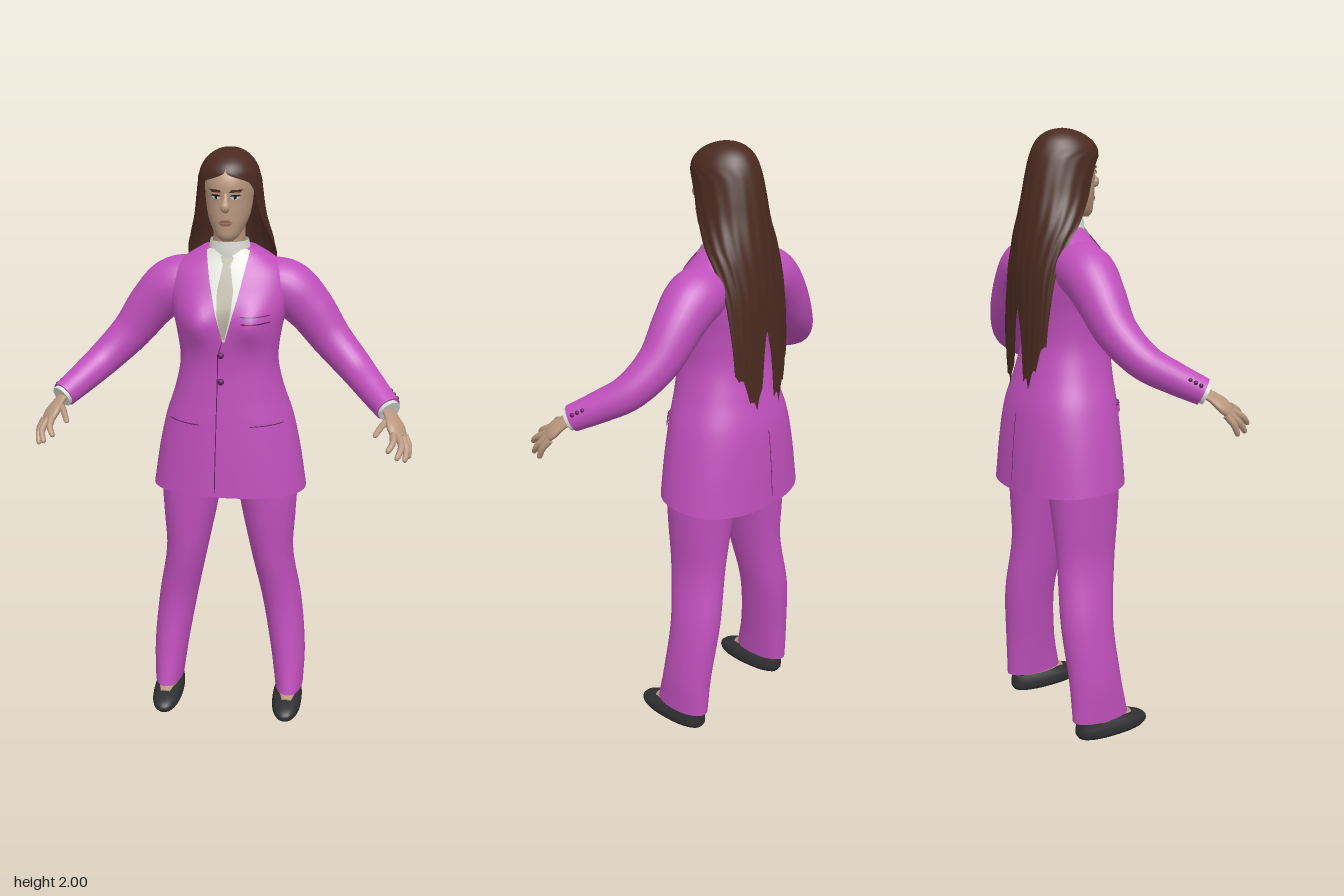
import * as THREE from 'three';

const mat = (name, hex) => {
  const m = new THREE.MeshStandardMaterial({ color: hex, side: THREE.DoubleSide });
  m.name = name;
  return m;
};
const V = (x, y, z) => new THREE.Vector3(x, y, z);

// Skin a list of point rings; closed rings wrap round, caps add flat-fan ends
function loft(rings, closed = true, cap0 = false, cap1 = false) {
  const n = rings[0].length, pos = [], idx = [];
  rings.forEach(r => r.forEach(p => pos.push(p.x, p.y, p.z)));
  const cols = closed ? n : n - 1;
  for (let i = 0; i < rings.length - 1; i++) for (let j = 0; j < cols; j++) {
    const a = i * n + j, b = i * n + (j + 1) % n;
    idx.push(a, b, b + n, a, b + n, a + n);
  }
  const cap = (ring, flip) => {
    const base = pos.length / 3, c = V(0, 0, 0);
    ring.forEach(p => { pos.push(p.x, p.y, p.z); c.addScaledVector(p, 1 / n); });
    pos.push(c.x, c.y, c.z);
    for (let j = 0; j < n; j++) {
      const a = base + j, b = base + (j + 1) % n;
      flip ? idx.push(b, a, base + n) : idx.push(a, b, base + n);
    }
  };
  if (cap0) cap(rings[0], true);
  if (cap1) cap(rings[rings.length - 1], false);
  const g = new THREE.BufferGeometry();
  g.setAttribute('position', new THREE.Float32BufferAttribute(pos, 3));
  g.setIndex(idx);
  g.computeVertexNormals();
  return g;
}

// Smooth interpolation of rows keyed by their first number
function profile(rows) {
  const slope = (i, k) => {
    const a = rows[Math.max(i - 1, 0)], b = rows[Math.min(i + 1, rows.length - 1)];
    return (b[k] - a[k]) / (b[0] - a[0]);
  };
  return y => {
    let i = 0;
    while (i < rows.length - 2 && y > rows[i + 1][0]) i++;
    const a = rows[i], b = rows[i + 1], h = b[0] - a[0];
    const t = Math.min(1, Math.max(0, (y - a[0]) / h)), s = t * t * (3 - 2 * t);
    return a.map((v, k) => k === 0 ? y : v + (b[k] - v) * s
      + h * (t * (1 - t) ** 2 * slope(i, k) - t * t * (1 - t) * slope(i + 1, k)));
  };
}

// Upright body from rows of [y, centre x, half width, front z, back z]
function body(rows, n = 2.2, bump = () => 0, lift = () => 0) {
  const at = profile(rows), y0 = rows[0][0], y1 = rows[rows.length - 1][0];
  const pw = v => Math.sign(v) * Math.abs(v) ** (2 / n);
  const surf = (x, y, side = 1) => {
    const [, cx, w, f, b] = at(y), k = Math.min(1, Math.abs((x - cx) / w));
    const z = (f + b) / 2 + side * (f - b) / 2 * (1 - k ** n) ** (1 / n);
    return side > 0 ? z + bump(x, y) : z;
  };
  const geo = (steps, seg, c0, c1) => loft(Array.from({ length: steps + 1 }, (_, i) => {
    const y = y0 + (y1 - y0) * i / steps, [, cx, w, f, b] = at(y);
    return Array.from({ length: seg }, (_, j) => {
      const t = j / seg * Math.PI * 2, c = Math.cos(t), x = cx + w * pw(Math.sin(t));
      return V(x, y + lift(y, c), (f + b) / 2 + (f - b) / 2 * pw(c) + (c > 0 ? bump(x, y) : 0));
    });
  }), true, c0, c1);
  return { surf, geo };
}

// Thin plate following a body's surface, rows of [y, x from, x to]
function panel(surf, rows, off, side = 1) {
  const rings = [], N = 8, M = 8;
  for (let i = 0; i < rows.length - 1; i++) for (let k = i ? 1 : 0; k <= N; k++) {
    const [y, a, b] = rows[i].map((v, q) => v + (rows[i + 1][q] - v) * k / N);
    const lo = Math.min(a, b), hi = Math.max(a, b);
    rings.push(Array.from({ length: M + 1 }, (_, j) => {
      const x = side > 0 ? lo + (hi - lo) * j / M : hi - (hi - lo) * j / M;
      return V(x, y, surf(x, y, side) + side * off);
    }));
  }
  return loft(rings, false);
}

// Tapering limb through points of [x, y, z, radius]
function limb(pts, { flat = 1, ref = V(0, 0, 1), steps = 24, seg = 20, caps = true } = {}) {
  const c = new THREE.CatmullRomCurve3(pts.map(p => V(p[0], p[1], p[2])));
  const rad = new THREE.CatmullRomCurve3(pts.map((p, i) => V(p[3], i, 0)));
  return loft(Array.from({ length: steps + 1 }, (_, i) => {
    const t = i / steps, p = c.getPoint(t), T = c.getTangent(t), r = rad.getPoint(t).x;
    const U = ref.clone().addScaledVector(T, -ref.dot(T)).normalize(), W = T.clone().cross(U);
    return Array.from({ length: seg }, (_, j) => {
      const a = j / seg * Math.PI * 2;
      return p.clone().addScaledVector(U, r * Math.cos(a)).addScaledVector(W, r * flat * Math.sin(a));
    });
  }), true, caps, caps);
}

export function createModel() {
  const root = new THREE.Group();
  const suit = mat('suit magenta', 0xc050bc), seam = mat('seam plum', 0x5c1f58), hairM = mat('hair brown', 0x4a2a20),
    skin = mat('skin', 0xb8977f), white = mat('shirt white', 0xdcdcd6), tieM = mat('tie grey', 0xb0ac9a),
    shoeM = mat('shoe black', 0x2f2f31), dark = mat('eye dark', 0x221815), lip = mat('lip', 0x8f6355);
  const add = (name, geo, m) => {
    const o = new THREE.Mesh(geo, m);
    o.name = name;
    root.add(o);
    return o;
  };
  const dot = (name, x, y, z, r, m) => add(name, new THREE.SphereGeometry(r, 12, 8), m).position.set(x, y, z);

  // Jacket body with bust and slightly dipping back hem
  const jacket = body([
    [0.855, 0, 0.265, 0.10, -0.265], [1.0, 0, 0.242, 0.095, -0.255], [1.12, 0, 0.215, 0.088, -0.24],
    [1.22, 0, 0.182, 0.08, -0.212], [1.32, 0, 0.163, 0.075, -0.188], [1.42, 0, 0.173, 0.082, -0.187],
    [1.5, 0, 0.19, 0.078, -0.195], [1.57, 0, 0.2, 0.05, -0.195], [1.62, 0, 0.185, 0.025, -0.187],
    [1.66, 0, 0.135, 0.0, -0.165], [1.69, 0, 0.085, -0.015, -0.14],
  ], 2.3,
  (x, y) => 0.028 * Math.exp(-(((Math.abs(x) - 0.09) / 0.05) ** 2) - ((y - 1.46) / 0.06) ** 2),
  (y, c) => 0.015 * c * Math.max(0, 1 - (y - 0.855) / 0.2));
  add('jacket', jacket.geo(60, 64, false, true), suit);
  const onJacket = (name, rows, off, m, side) => add(name, panel(jacket.surf, rows, off, side), m);

  // Shirt, tie, jacket front details
  onJacket('shirtFront', [[1.41, -0.008, 0.002], [1.56, -0.045, 0.043], [1.685, -0.07, 0.07]], 0.004, white);
  onJacket('tie', [[1.42, -0.008, 0.002], [1.5, -0.024, 0.02], [1.57, -0.026, 0.026], [1.645, -0.012, 0.012],
    [1.655, -0.018, 0.018], [1.685, -0.022, 0.022]], 0.008, tieM);
  onJacket('frontSeam', [[0.885, -0.033, -0.03], [1.36, -0.023, -0.02], [1.41, -0.008, -0.006]], 0.002, seam);
  onJacket('backVent', [[0.87, -0.0015, 0.0015], [1.1, -0.0015, 0.0015]], 0.002, seam, -1);
  for (const y of [1.363, 1.273]) dot('jacketButton', -0.012, y, jacket.surf(-0.012, y), 0.011, seam);
  onJacket('breastPocket', [[1.475, 0.055, 0.145], [1.495, 0.052, 0.145]], 0.006, suit);
  onJacket('breastPocketSeam', [[1.472, 0.055, 0.145], [1.476, 0.055, 0.145]], 0.007, seam);
  onJacket('pocketSquare', [[1.495, 0.05, 0.145], [1.512, 0.075, 0.125], [1.52, 0.09, 0.098]], 0.008, suit);
  onJacket('pocketSquareEdge', [[1.495, 0.05, 0.145], [1.498, 0.055, 0.14]], 0.009, seam);

  // Neck and standing collar
  add('neck', limb([[0, 1.6, -0.07, 0.06], [0, 1.69, -0.055, 0.054], [0, 1.78, -0.045, 0.05]], { ref: V(1, 0, 0) }), skin);
  add('collar', body([[1.65, 0, 0.078, 0.005, -0.14], [1.685, 0, 0.068, 0.006, -0.125], [1.715, 0, 0.062, 0.004, -0.12]], 2)
    .geo(6, 32), white);

  // Head and face
  const head = body([
    [1.722, 0, 0.022, 0.03, -0.03], [1.735, 0, 0.037, 0.042, -0.07], [1.76, 0, 0.052, 0.045, -0.11],
    [1.79, 0, 0.065, 0.046, -0.14], [1.84, 0, 0.074, 0.046, -0.16], [1.9, 0, 0.076, 0.048, -0.165],
    [1.94, 0, 0.068, 0.03, -0.15], [1.965, 0, 0.048, -0.005, -0.125], [1.978, 0, 0.02, -0.045, -0.085],
  ], 2.2);
  add('head', head.geo(36, 36, true, true), skin);
  const onFace = (name, rows, off, m) => add(name, panel(head.surf, rows, off), m);
  add('nose', limb([[0, 1.872, 0.042, 0.007], [0, 1.85, 0.052, 0.009], [0, 1.833, 0.059, 0.015],
    [0, 1.822, 0.048, 0.011]], { ref: V(1, 0, 0) }), skin);
  onFace('upperLip', [[1.783, -0.024, 0.024], [1.791, -0.01, 0.01]], 0.004, lip);
  onFace('lowerLip', [[1.773, -0.012, 0.012], [1.782, -0.023, 0.023]], 0.005, lip);

  for (const s of [1, -1]) {
    const m = rows => rows.map(([y, a, b]) => [y, s * a, s * b]);
    // Eyes and brows
    onFace('eye', m([[1.855, 0.024, 0.036], [1.861, 0.015, 0.045], [1.867, 0.022, 0.038]]), 0.002, white);
    onFace('iris', m([[1.856, 0.026, 0.034], [1.867, 0.025, 0.035]]), 0.004, dark);
    onFace('eyelid', m([[1.864, 0.014, 0.047], [1.869, 0.02, 0.042]]), 0.003, dark);
    onFace('brow', m([[1.876, 0.012, 0.045], [1.884, 0.018, 0.053]]), 0.003, hairM);

    // Lapels, collar wings and pocket flaps
    onJacket('lapel', m([[1.41, 0.004, 0.008], [1.52, 0.033, 0.085], [1.585, 0.049, 0.115], [1.6, 0.053, 0.09],
      [1.61, 0.055, 0.11], [1.685, 0.07, 0.084]]), 0.007, suit);
    onJacket('collarWing', m([[1.635, 0.036, 0.042], [1.66, 0.024, 0.056], [1.69, 0.008, 0.064]]), 0.011, white);
    onJacket('pocketFlap', m([[1.1, 0.085, 0.19], [1.125, 0.085, 0.19]]), 0.008, suit);
    onJacket('pocketSeam', m([[1.123, 0.085, 0.19], [1.126, 0.085, 0.19]]), 0.009, seam);

    // Sleeve, shirt cuff and sleeve buttons
    const sleeve = [[0.12, 1.57, -0.09, 0.085], [0.19, 1.55, -0.09, 0.09], [0.26, 1.487, -0.09, 0.08],
      [0.335, 1.39, -0.08, 0.067], [0.42, 1.305, -0.035, 0.057], [0.478, 1.257, 0.035, 0.05], [0.53, 1.217, 0.105, 0.043]];
    const flip = pts => pts.map(([x, ...r]) => [s * x, ...r]);
    add('sleeve', limb(flip(sleeve), { steps: 40, seg: 28 }), suit);
    add('shirtCuff', limb(flip([[0.518, 1.226, 0.09, 0.037], [0.536, 1.212, 0.115, 0.037]]), { steps: 2 }), white);
    for (let k = 0; k < 3; k++)
      dot('sleeveButton', s * (0.557 - 0.01 * k), 1.243 + 0.008 * k, 0.075 - 0.013 * k, 0.007, seam);

    // Hand: flattened palm, four fingers and a thumb
    const across = V(s * 0.7, -0.3, -0.65);
    add('palm', limb(flip([[0.525, 1.222, 0.098, 0.028], [0.542, 1.2, 0.13, 0.031], [0.557, 1.174, 0.16, 0.04],
      [0.566, 1.152, 0.182, 0.034]]), { flat: 0.42, ref: across }), skin);
    const fingers = [
      [[0.586, 1.148, 0.152], [0.6, 1.118, 0.172], [0.601, 1.087, 0.186]],
      [[0.577, 1.152, 0.17], [0.592, 1.12, 0.2], [0.588, 1.09, 0.225]],
      [[0.565, 1.158, 0.186], [0.575, 1.133, 0.225], [0.562, 1.108, 0.256]],
      [[0.549, 1.166, 0.196], [0.548, 1.148, 0.227], [0.533, 1.127, 0.25]],
      [[0.535, 1.195, 0.135], [0.512, 1.185, 0.18], [0.492, 1.168, 0.222]],
    ];
    fingers.forEach(([a, b, c], i) => {
      const tip = c.map((v, k) => v + (c[k] - b[k]) * 0.15);
      add(i < 4 ? 'finger' : 'thumb', limb(flip([[...a, 0.012], [...b, 0.0105], [...c, 0.008], [...tip, 0.002]]),
        { ref: across, steps: 10, seg: 10 }), skin);
    });

    // Trouser leg
    const leg = body([
      [0.065, s * 0.225, 0.051, 0.045, -0.165], [0.2, s * 0.217, 0.062, 0.018, -0.17], [0.4, s * 0.19, 0.07, 0.002, -0.184],
      [0.6, s * 0.153, 0.074, 0.03, -0.175], [0.75, s * 0.14, 0.092, 0.045, -0.183],
      [0.87, s * 0.13, 0.106, 0.052, -0.192], [0.99, s * 0.105, 0.12, 0.052, -0.2],
    ], 2.1);
    add('trouserLeg', leg.geo(30, 32, false, true), suit);

    // Foot and flat shoe
    add('foot', limb(flip([[0.224, 0.035, 0.055, 0.025], [0.224, 0.045, 0.0, 0.036], [0.224, 0.07, -0.07, 0.042],
      [0.224, 0.14, -0.085, 0.038]]), { ref: V(1, 0, 0) }), skin);
    add('shoe', body([[0, s * 0.222, 0.046, 0.115, -0.142], [0.012, s * 0.222, 0.053, 0.126, -0.15],
      [0.03, s * 0.222, 0.053, 0.122, -0.151], [0.045, s * 0.222, 0.048, 0.095, -0.15],
      [0.058, s * 0.223, 0.041, 0.04, -0.148]], 2.3).geo(14, 32, true, false), shoeM);
  }

  // Long hair: rows of [-y, half width, front z, back z, half angle of face opening]
  const hairAt = profile([
    [-2.0, 0.001, -0.064, -0.066, 0], [-1.996, 0.027, -0.035, -0.095, 0], [-1.985, 0.052, 0, -0.125, 0],
    [-1.965, 0.075, 0.033, -0.15, 0], [-1.945, 0.088, 0.05, -0.163, 0], [-1.93, 0.094, 0.056, -0.17, 0.1],
    [-1.905, 0.1, 0.056, -0.178, 0.75], [-1.85, 0.107, 0.046, -0.19, 1.0], [-1.78, 0.117, 0.03, -0.202, 1.13],
    [-1.7, 0.138, 0.0, -0.216, 1.4], [-1.65, 0.145, -0.03, -0.223, 1.6], [-1.55, 0.143, -0.1, -0.232, 1.72],
    [-1.4, 0.135, -0.16, -0.234, 1.68], [-1.25, 0.122, -0.175, -0.237, 1.66], [-1.17, 0.115, -0.19, -0.24, 1.65],
  ]);
  const ends = x => 1.18 + 0.23 * Math.exp(-((x / 0.026) ** 2)) + 0.12 * Math.max(0, (Math.abs(x) - 0.08) / 0.05)
    + 0.035 * Math.abs(Math.sin(x * 95 + 0.6));
  add('hair', loft(Array.from({ length: 81 }, (_, i) => {
    const y = 2 - 0.83 * (1 - i / 80) ** 2;
    return Array.from({ length: 81 }, (_, j) => {
      const u = j / 80, xe = 0.13 * Math.sin(Math.PI * (0.5 + u));
      const yy = y > 1.45 ? y : 1.45 - (1.45 - y) * (1.45 - ends(xe)) / 0.28;
      const [, w, f, b, open] = hairAt(-yy), o = Math.max(0, open), t = o + (2 * Math.PI - 2 * o) * u;
      const k = 1 + 0.012 * Math.sin(u * 70) * Math.min(1, (2 - yy) * 4);
      return V(w * k * Math.sin(t), yy, (f + b) / 2 + (f - b) / 2 * k * Math.cos(t));
    });
  }), false), hairM);
  return root;
}
